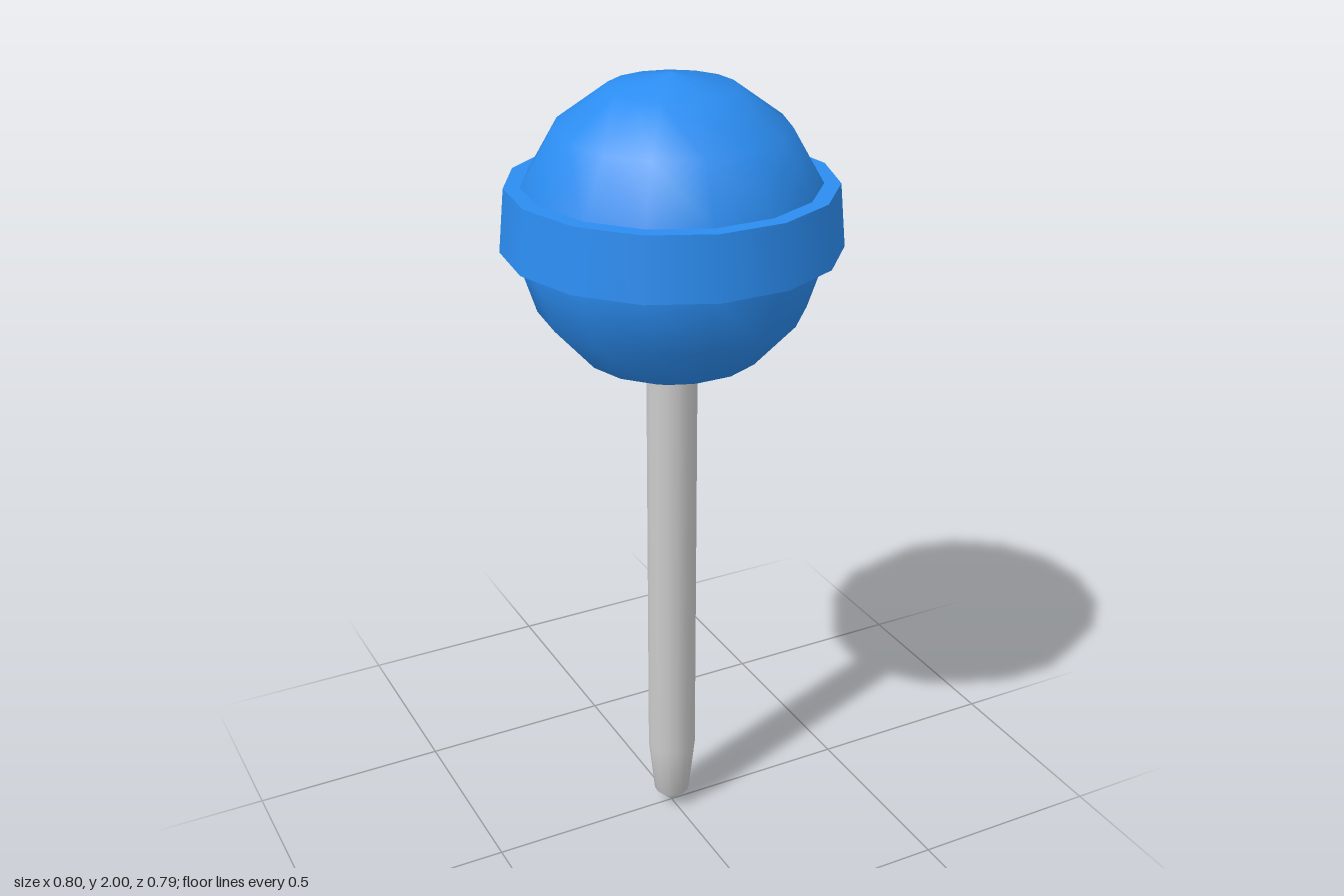
import * as THREE from 'three';

const SIDES = 15;

// Turned surface from [radius, y] points, bottom to top, with a corner at the back
function turned(name, points, material) {
  const profile = points.map(([r, y]) => new THREE.Vector2(r, y));
  const mesh = new THREE.Mesh(new THREE.LatheGeometry(profile, SIDES, Math.PI), material);
  mesh.name = name;
  return mesh;
}

export function createModel() {
  const model = new THREE.Group();
  model.name = 'pushPin';
  const blue = new THREE.MeshStandardMaterial({ color: 0x2b8cf0 });
  const grey = new THREE.MeshStandardMaterial({ color: 0xcccccc });

  // Needle: straight shaft with a tapered point
  model.add(turned('needle', [[0, 0.005], [0.046, 0.05], [0.062, 0.2], [0.062, 1.3]], grey));

  // Ball head: 24 degree steps down from the pole, closed underneath
  const R = 0.367;
  const ball = [[0, 2 - 1.978 * R]];
  for (let i = 7; i >= 0; i--) {
    const a = (i * 24 * Math.PI) / 180;
    ball.push([R * Math.sin(a), 2 - R + R * Math.cos(a)]);
  }
  model.add(turned('ballHead', ball, blue));

  // Collar around the ball: each face is turned separately to keep the rims sharp
  const collar = new THREE.Group();
  collar.name = 'collar';
  const section = [[0.34, 1.6], [0.4, 1.6], [0.386, 1.75], [0.33, 1.75]];
  ['collarUnderside', 'collarBand', 'collarTop'].forEach((name, i) => {
    collar.add(turned(name, section.slice(i, i + 2), blue));
  });
  model.add(collar);

  return model;
}
